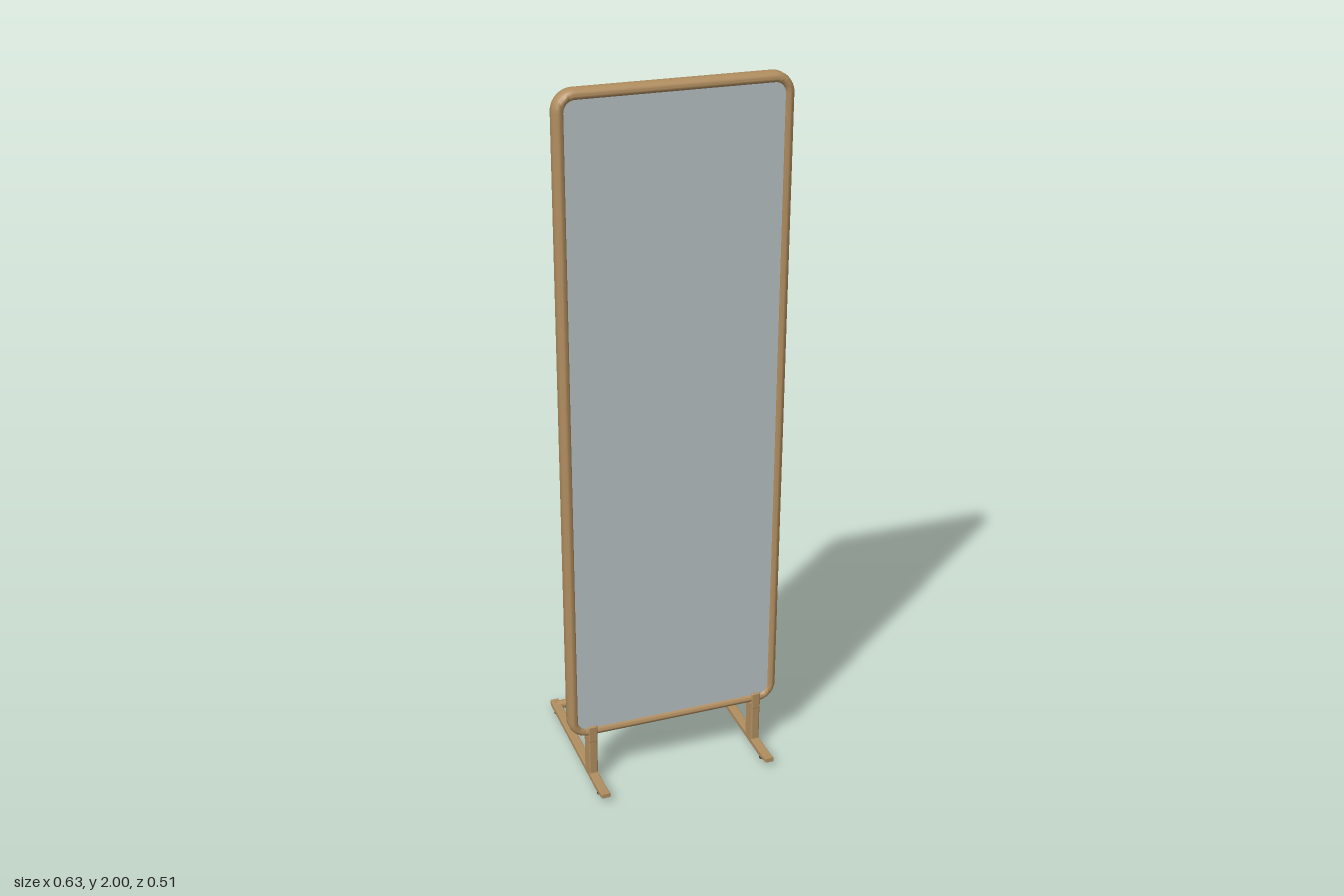
import * as THREE from 'three';
import { toCreasedNormals } from 'three/addons/utils/BufferGeometryUtils.js';
import { RoundedBoxGeometry } from 'three/addons/geometries/RoundedBoxGeometry.js';

const mat = (color) => new THREE.MeshStandardMaterial({ color });
const V = (x, y, z) => new THREE.Vector3(x, y, z);

// Frame outline: half width, bottom, top, corner radius
const HW = 0.315, Y0 = 0.147, Y1 = 2, R = 0.055, SEG = 10;

// Counter-clockwise rounded rectangle, moved inward by inset
function outline(inset) {
  const pts = [], r = R - inset, cx = HW - R;
  const corners = [[cx, Y1 - R], [-cx, Y1 - R], [-cx, Y0 + R], [cx, Y0 + R]];
  corners.forEach(([x, y], q) => {
    for (let i = 0; i <= SEG; i++) {
      const a = (q + i / SEG) * Math.PI / 2;
      pts.push(new THREE.Vector2(x + r * Math.cos(a), y + r * Math.sin(a)));
    }
  });
  return pts;
}

// Loft a closed [inset, z] profile around the outline
function frameGeometry(profile) {
  const pos = [], idx = [], n = 4 * (SEG + 1), m = profile.length;
  profile.forEach(([inset, z]) => outline(inset).forEach((p) => pos.push(p.x, p.y, z)));
  for (let j = 0; j < m; j++) {
    for (let i = 0; i < n; i++) {
      const a = j * n + i, b = j * n + (i + 1) % n;
      const k = ((j + 1) % m) * n, c = k + i, d = k + (i + 1) % n;
      idx.push(a, b, d, a, d, c);
    }
  }
  const g = new THREE.BufferGeometry();
  g.setAttribute('position', new THREE.Float32BufferAttribute(pos, 3));
  g.setIndex(idx);
  return toCreasedNormals(g, 0.7);
}

export function createModel() {
  const model = new THREE.Group();
  const wood = mat(0xb08d5f), glass = mat(0xb7c2c5), dark = mat(0x38332b);

  function add(name, geometry, material, x = 0, y = 0, z = 0, parent = model) {
    const mesh = new THREE.Mesh(geometry, material);
    mesh.name = name;
    mesh.position.set(x, y, z);
    parent.add(mesh);
    return mesh;
  }
  function rod(name, a, b, r, parent = model) {
    const mesh = add(name, new THREE.CylinderGeometry(r, r, a.distanceTo(b), 20), wood, 0, 0, 0, parent);
    mesh.position.copy(a).lerp(b, 0.5);
    mesh.quaternion.setFromUnitVectors(V(0, 1, 0), b.clone().sub(a).normalize());
    return mesh;
  }

  // Frame with rounded front edge, mirror and back panel
  add('frame', frameGeometry([
    [0.001, 0.097], [0, 0.099], [0, 0.117], [0.002, 0.125], [0.006, 0.131], [0.011, 0.134],
    [0.016, 0.135], [0.021, 0.133], [0.025, 0.129], [0.026, 0.12], [0.026, 0.097],
  ]), wood);
  const panel = new THREE.Shape(outline(0.024));
  const sheet = (depth) => new THREE.ExtrudeGeometry(panel, { depth, bevelEnabled: false });
  add('mirror', sheet(0.012), glass, 0, 0, 0.114);
  add('backPanel', sheet(0.013), dark, 0, 0, 0.1);

  // Foot side profile in (z, y), tip raised at the front
  const footShape = new THREE.Shape([
    [-0.252, 0.013], [0.205, 0.013], [0.228, 0.016], [0.25, 0.022],
    [0.25, 0.029], [0.228, 0.026], [0.205, 0.025], [-0.252, 0.025],
  ].map(([z, y]) => new THREE.Vector2(z, y)));
  const footGeo = new THREE.ExtrudeGeometry(footShape, {
    depth: 0.02, bevelThickness: 0.003, bevelSize: 0.003, bevelSegments: 3,
  });
  footGeo.translate(0, 0, -0.01).rotateY(-Math.PI / 2);

  for (const side of [1, -1]) {
    const leg = new THREE.Group();
    leg.name = side > 0 ? 'leftLeg' : 'rightLeg';
    leg.position.x = side * 0.249;
    model.add(leg);
    add('foot', footGeo, wood, 0, 0, 0, leg);
    for (const z of [0.2, -0.222])
      add('footPad', new THREE.CylinderGeometry(0.01, 0.01, 0.012, 20), dark, 0, 0.006, z, leg);

    // Upright, and a cradle whose lips hold the frame front and back
    add('post', new RoundedBoxGeometry(0.026, 0.13, 0.046, 3, 0.005), wood, 0, 0.085, 0.118, leg);
    add('frontLip', new RoundedBoxGeometry(0.026, 0.052, 0.009, 3, 0.004), wood, 0, 0.159, 0.1375, leg);
    add('backLip', new RoundedBoxGeometry(0.026, 0.052, 0.008, 3, 0.0035), wood, 0, 0.159, 0.094, leg);

    // Clamp knob
    const knob = [[0, 0], [0.006, 0], [0.006, 0.005], [0.004, 0.008], [0.004, 0.013],
      [0.009, 0.015], [0.011, 0.018], [0.009, 0.021], [0, 0.022]]
      .map(([r, y]) => new THREE.Vector2(r, y));
    add('knob', toCreasedNormals(new THREE.LatheGeometry(knob, 20), 0.8), wood, 0, 0.152, 0.091, leg)
      .rotation.x = -Math.PI / 2;
  }

  // Rear crossbar between the feet
  rod('crossbar', V(-0.249, 0.02, -0.234), V(0.249, 0.02, -0.234), 0.0125);

  // Telescoping rear strut with collar
  const foot = V(0, 0.022, -0.234), head = V(0, 1.575, 0.086);
  const mid = foot.clone().lerp(head, 0.505);
  rod('lowerStrut', foot, mid, 0.0115);
  rod('upperStrut', mid, head, 0.01);
  const collar = add('collar', new RoundedBoxGeometry(0.036, 0.026, 0.026, 3, 0.005), wood, mid.x, mid.y, mid.z);
  collar.rotation.x = Math.atan2(head.z - foot.z, head.y - foot.y);

  // Mount plate and hinge on the back panel
  add('mountPlate', new RoundedBoxGeometry(0.076, 0.066, 0.009, 3, 0.003), wood, 0, 1.578, 0.0965);
  rod('hingePin', V(-0.013, 1.575, 0.087), V(0.013, 1.575, 0.087), 0.01);

  return model;
}
